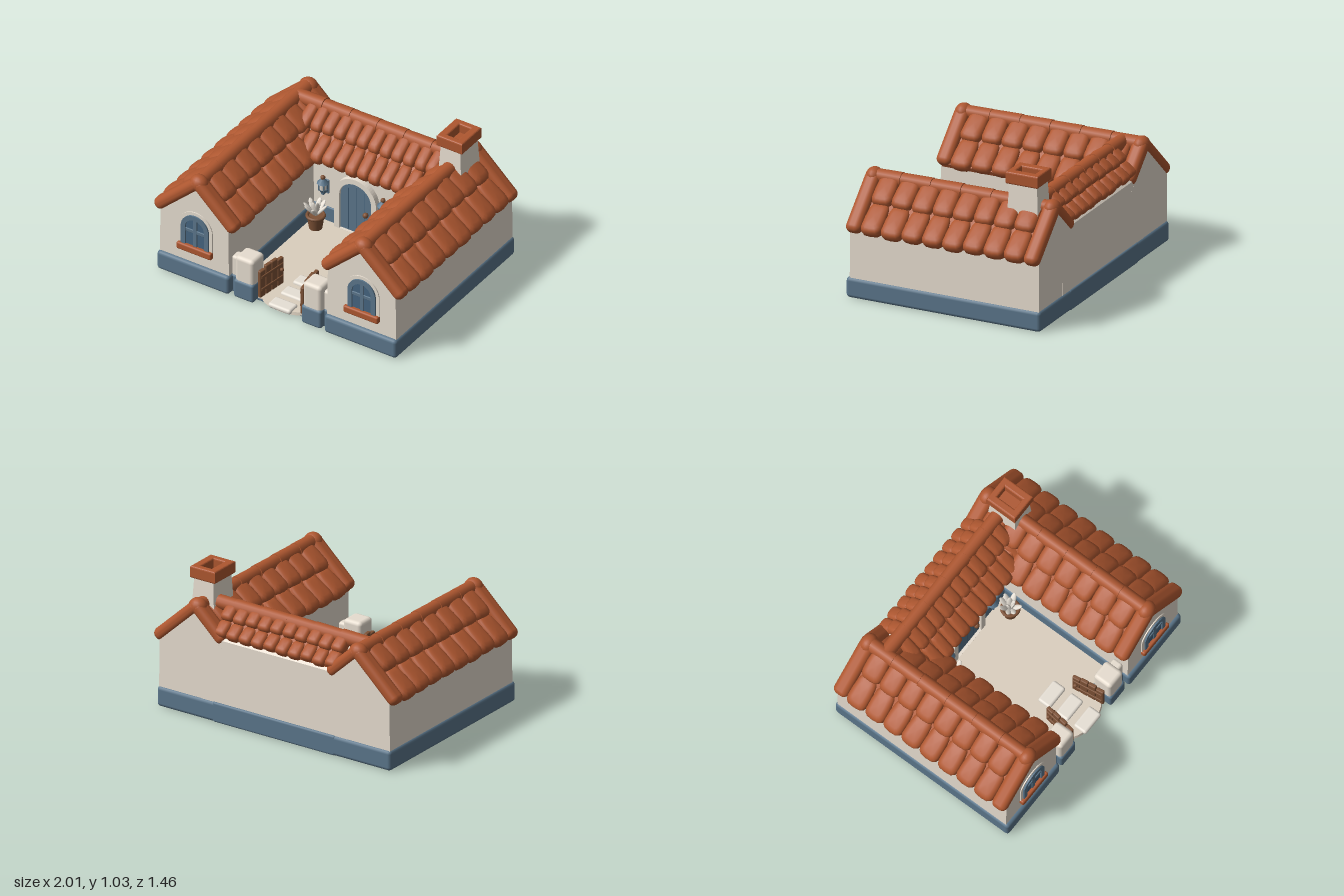
import * as THREE from 'three';
import { mergeVertices } from 'three/addons/utils/BufferGeometryUtils.js';
import { RoundedBoxGeometry } from 'three/addons/geometries/RoundedBoxGeometry.js';

const mat = (name, color) => Object.assign(new THREE.MeshStandardMaterial({ color }), { name });
const M = {
  roof: mat('terracotta', 0xae5730), wall: mat('plaster', 0xede3d5), blue: mat('slate blue', 0x5b768b),
  pane: mat('dark blue', 0x45647f), wood: mat('brown wood', 0x7e5236), stone: mat('pale stone', 0xeee7dc),
  floor: mat('courtyard tan', 0xdbcfbe),
};

let seed = 7;
const jitter = a => ((seed = (seed * 16807) % 2147483647) / 2147483647 - 0.5) * 2 * a;

function add(parent, name, geo, material, x = 0, y = 0, z = 0) {
  const m = new THREE.Mesh(geo, material);
  m.name = name;
  m.position.set(x, y, z);
  parent.add(m);
  return m;
}
// Box given by its limits, with softened edges
function block(parent, name, material, x0, x1, y0, y1, z0, z1, r = 0.015) {
  const w = x1 - x0, h = y1 - y0, d = z1 - z0;
  return add(parent, name, new RoundedBoxGeometry(w, h, d, 2, Math.min(r, w / 2.1, h / 2.1, d / 2.1)), material,
    (x0 + x1) / 2, (y0 + y1) / 2, (z0 + z1) / 2);
}
const outline = (Type, points) => new Type(points.map(p => new THREE.Vector2(...p)));
// Extruded shape centred along its depth
function prism(shape, depth) {
  return new THREE.ExtrudeGeometry(shape, { depth, bevelEnabled: false, curveSegments: 14 }).translate(0, 0, -depth / 2);
}
const profile = (points, depth) => prism(outline(THREE.Shape, points), depth);
// Round-topped outline standing on y0
function arch(w, h, Type = THREE.Shape, y0 = 0) {
  const s = new Type(), r = w / 2;
  s.moveTo(-r, y0);
  s.lineTo(r, y0);
  s.lineTo(r, h - r);
  s.absarc(0, h - r, r, 0, Math.PI, false);
  s.lineTo(-r, y0);
  return s;
}
function archRing(w, h, t, depth) {
  const s = arch(w, h);
  s.holes.push(arch(w - 2 * t, h - t, THREE.Path, 0.001));
  return prism(s, depth);
}

// Pillow-shaped clay tile, wider at its lower end
function tileGeometry(w, h, len) {
  const g = new THREE.SphereGeometry(1, 16, 10);
  const p = g.attributes.position;
  const pow = (v, e) => Math.sign(v) * Math.abs(v) ** e;
  for (let i = 0; i < p.count; i++) {
    const x = pow(p.getX(i), 0.6), y = pow(p.getY(i), 0.8), z = pow(p.getZ(i), 0.5);
    p.setXYZ(i, x * w * (0.5 + 0.04 * z), y * h * (0.5 + 0.1 * z), z * len * 0.5);
  }
  g.deleteAttribute('uv');
  g.deleteAttribute('normal');
  const out = mergeVertices(g, 1e-4);
  out.computeVertexNormals();
  return out;
}
// Rows of tiles running down from a ridge, downhill along local +z
function tileSlope(parent, name, span, cols, slopeLen, pitch, x, y, z, turn) {
  const g = new THREE.Group();
  g.name = name;
  g.position.set(x, y, z);
  g.rotation.y = turn;
  const w = span / cols, row = slopeLen / 2, geo = tileGeometry(w * 1.04, 0.095, row * 1.2);
  for (let r = 0; r < 2; r++) for (let c = 0; c < cols; c++) {
    const s = row * (r + 0.5) + jitter(0.006);
    const t = add(g, 'roofTile', geo, M.roof, -span / 2 + w * (c + 0.5),
      -s * Math.sin(pitch) + (r ? 0 : 0.008), s * Math.cos(pitch));
    t.rotation.set(pitch - 0.06, jitter(0.05), jitter(0.05));
  }
  parent.add(g);
}
// Ridge of short round tiles along x or z
function ridge(parent, name, from, to, n, y, at, alongX) {
  const len = (to - from) / n;
  for (let i = 0; i < n; i++) {
    const c = from + len * (i + 0.5), r = 0.047 + jitter(0.003);
    const m = add(parent, name, new THREE.CylinderGeometry(r, r + 0.004, len * 0.99, 14), M.roof, alongX ? c : at, y, alongX ? at : c);
    if (alongX) m.rotation.z = Math.PI / 2; else m.rotation.x = Math.PI / 2;
  }
}

function wing(root, side) {
  const g = new THREE.Group(), cx = 0.655 * side, pitch = 0.75, d = 0.012 * side;
  g.name = side < 0 ? 'rightWing' : 'leftWing';
  root.add(g);
  block(g, 'wingBase', M.blue, cx + d - 0.288, cx + d + 0.288, 0, 0.145, -0.725, 0.73, 0.025);
  add(g, 'wingWall', profile([[d - 0.276, 0.1], [d + 0.276, 0.1], [d + 0.27, 0.505], [0, 0.76], [d - 0.27, 0.505]], 1.415), M.wall, cx, 0, -0.003);
  add(g, 'roofDeck', profile([[0, 0.795], [-0.3, 0.515], [-0.285, 0.485], [0, 0.74], [0.285, 0.485], [0.3, 0.515]], 1.36), M.roof, cx);
  for (const s of [-1, 1]) tileSlope(g, 'wingRoofSlope', 1.22, 8, s === side ? 0.425 : 0.405, pitch, cx, 0.785, 0, s * Math.PI / 2);
  ridge(g, 'wingRidge', -0.68, 0.68, 6, 0.785, cx, false);
  // Rounded gable edges, the inner back one cut short at the valley
  for (const end of [-1, 1]) {
    for (const s of [-1, 1]) {
      const len = s === side ? 0.465 : end < 0 ? 0.33 : 0.435;
      const t = add(g, 'gableTrim', new RoundedBoxGeometry(len, 0.09, 0.115, 4, 0.042), M.roof,
        cx + s * (len / 2 - 0.02) * Math.cos(pitch), 0.79 - (len / 2 - 0.02) * Math.sin(pitch), end * 0.665);
      t.rotation.z = -s * pitch;
    }
    const cap = add(g, 'gablePeakCap', new THREE.SphereGeometry(0.062, 16, 12), M.roof, cx, 0.78, end * 0.665);
    cap.scale.set(1.1, 1, 0.95);
  }
  // Arched front window
  const win = new THREE.Group();
  win.name = 'frontWindow';
  win.position.set(side < 0 ? -0.655 : 0.675, 0.275, 0.704);
  g.add(win);
  add(win, 'windowSurround', archRing(0.27, 0.285, 0.027, 0.016), M.wall);
  add(win, 'windowPane', prism(arch(0.2, 0.25), 0.009), M.pane, 0, 0, 0.002);
  add(win, 'windowFrame', archRing(0.22, 0.26, 0.034, 0.03), M.blue, 0, 0, 0.004);
  block(win, 'mullion', M.blue, -0.015, 0.015, 0.01, 0.25, -0.01, 0.015, 0.004);
  block(win, 'glazingBar', M.blue, -0.09, 0.09, 0.115, 0.142, -0.01, 0.014, 0.004);
  block(win, 'windowSill', M.roof, -0.138, 0.138, -0.042, 0.012, -0.03, 0.033, 0.012);
}

function mainHouse(root) {
  const g = new THREE.Group();
  g.name = 'mainHouse';
  root.add(g);
  block(g, 'mainBase', M.blue, -0.5, 0.5, 0, 0.145, -0.725, -0.34);
  for (const [a, b] of [[-0.42, -0.2], [0.13, 0.42]]) block(g, 'wallSkirting', M.blue, a, b, 0, 0.14, -0.36, -0.32, 0.01);
  const wall = add(g, 'mainWall', profile([[0.33, 0.05], [0.712, 0.1], [0.71, 0.6], [0.53, 0.76], [0.33, 0.6]], 1.2), M.wall);
  const deck = add(g, 'mainRoofDeck', profile([[0.53, 0.8], [0.26, 0.565], [0.27, 0.535], [0.53, 0.74], [0.69, 0.61], [0.7, 0.64]], 0.9), M.roof);
  wall.rotation.y = deck.rotation.y = Math.PI / 2;
  tileSlope(g, 'mainRoofFront', 1.1, 12, 0.365, 0.72, 0, 0.785, -0.53, 0);
  tileSlope(g, 'mainRoofBack', 1.0, 10, 0.22, 0.82, 0, 0.78, -0.54, Math.PI);
  ridge(g, 'mainRidge', -0.65, 0.65, 6, 0.787, -0.53, true);

  // Arched door
  const door = new THREE.Group();
  door.name = 'frontDoor';
  door.position.set(-0.038, 0.03, -0.325);
  g.add(door);
  add(door, 'doorSurround', archRing(0.335, 0.44, 0.04, 0.06), M.wall, 0, 0, 0.005);
  add(door, 'doorLeaf', prism(arch(0.26, 0.4), 0.03), M.blue);
  for (const x of [-0.065, 0, 0.065]) block(door, 'plankGap', M.pane, x - 0.002, x + 0.002, 0.01, 0.37 - Math.abs(x) * 0.4, 0.012, 0.017, 0.001);
  add(door, 'doorKnob', new THREE.SphereGeometry(0.02, 12, 8), M.wood, 0.08, 0.18, 0.03);

  // Wall lanterns
  for (const x of [-0.285, 0.195]) {
    const l = new THREE.Group();
    l.name = 'wallLantern';
    l.position.set(x, 0, -0.275);
    g.add(l);
    block(l, 'lanternBracket', M.blue, -0.012, 0.012, 0.27, 0.29, -0.06, 0.01, 0.004);
    block(l, 'lanternBackPlate', M.blue, -0.018, 0.018, 0.25, 0.36, -0.06, -0.045, 0.006);
    add(l, 'lanternFoot', new THREE.CylinderGeometry(0.028, 0.016, 0.025, 8), M.blue, 0, 0.3, 0);
    add(l, 'lanternGlass', new THREE.CylinderGeometry(0.03, 0.024, 0.055, 8), M.stone, 0, 0.338, 0);
    for (let i = 0; i < 4; i++) {
      const a = Math.PI / 4 + i * Math.PI / 2;
      add(l, 'lanternBar', new THREE.CylinderGeometry(0.006, 0.006, 0.06, 6), M.blue, 0.028 * Math.cos(a), 0.338, 0.028 * Math.sin(a));
    }
    add(l, 'lanternCap', new THREE.CylinderGeometry(0.012, 0.043, 0.035, 8), M.blue, 0, 0.38, 0);
    add(l, 'lanternFinial', new THREE.SphereGeometry(0.017, 10, 8), M.wood, 0, 0.407, 0);
  }
}

function chimney(root) {
  const g = new THREE.Group();
  g.name = 'chimney';
  g.position.set(0.66, 0, -0.49);
  root.add(g);
  const body = new THREE.BoxGeometry(0.2, 0.4, 0.25), p = body.attributes.position;
  for (let i = 0; i < p.count; i++) if (p.getY(i) > 0) p.setXYZ(i, p.getX(i) * 0.78, p.getY(i), p.getZ(i) * 0.82);
  body.computeVertexNormals();
  add(g, 'chimneyStack', body, M.wall, 0, 0.755, 0);
  const rect = (Type, a, b) => outline(Type, [[-a, -b], [a, -b], [a, b], [-a, b]]);
  const s = rect(THREE.Shape, 0.09, 0.108);
  s.holes.push(rect(THREE.Path, 0.055, 0.084));
  const rim = new THREE.ExtrudeGeometry(s, { depth: 0.064, bevelSize: 0.012, bevelThickness: 0.012, bevelSegments: 3 });
  add(g, 'chimneyCap', rim, M.roof, 0, 0.953, 0).rotation.x = -Math.PI / 2;
  block(g, 'flueFloor', M.roof, -0.06, 0.06, 0.95, 0.96, -0.085, 0.085, 0.002);
}

function courtyard(root) {
  const g = new THREE.Group();
  g.name = 'courtyard';
  root.add(g);
  block(g, 'courtyardFoundation', M.blue, -0.4, 0.4, 0, 0.02, -0.4, 0.66, 0.004);
  block(g, 'courtyardFloor', M.floor, -0.39, 0.39, 0.015, 0.03, -0.36, 0.66, 0.004);
  add(g, 'entranceApron', new THREE.CylinderGeometry(0.18, 0.19, 0.022, 24), M.floor, 0.01, 0.023, 0.61).scale.z = 0.5;
  for (const z of [0.36, 0.51, 0.66]) block(g, 'steppingStone', M.stone, -0.08, 0.1, 0.012, 0.05, z - 0.052, z + 0.052, 0.018);
  for (const s of [-1, 1]) {
    // Gate pillar and the short wall joining it to the wing
    const px = 0.27 * s, wx = 0.36 * s;
    block(g, 'pillarBase', M.blue, px - 0.08, px + 0.08, 0, 0.145, 0.555, 0.72, 0.02);
    block(g, 'gatePillar', M.wall, px - 0.074, px + 0.074, 0.1, 0.33, 0.562, 0.71, 0.028);
    block(g, 'linkWallBase', M.blue, wx - 0.04, wx + 0.04, 0, 0.14, 0.575, 0.675);
    block(g, 'linkWall', M.wall, wx - 0.04, wx + 0.04, 0.1, 0.285, 0.585, 0.665, 0.02);

    // Open plank gate
    const gate = new THREE.Group();
    gate.name = 'gate';
    gate.position.set(s * 0.172, 0.035, 0.675);
    gate.rotation.y = Math.PI / 2 + s * 0.14;
    g.add(gate);
    for (let i = 0; i < 4; i++) block(gate, 'gatePlank', M.wood, i * 0.06, i * 0.06 + 0.058, 0, 0.2 + 0.035 * Math.sin((i + 0.5) * Math.PI / 4), -0.014, 0.014, 0.008);
    for (const y of [0.05, 0.15]) block(gate, 'gateBrace', M.wood, 0.01, 0.23, y, y + 0.025, -0.02, 0.02, 0.005);
    for (const z of [-0.025, 0.025]) add(gate, 'gateKnob', new THREE.SphereGeometry(0.014, 10, 8), M.wood, 0.205, 0.13, z);

    // Potted plant
    const plant = new THREE.Group();
    plant.name = 'pottedPlant';
    plant.position.set(s * 0.3, 0.03, -0.21);
    g.add(plant);
    add(plant, 'pot', new THREE.CylinderGeometry(0.06, 0.045, 0.1, 16), M.wood, 0, 0.05, 0);
    add(plant, 'potRim', new THREE.TorusGeometry(0.058, 0.012, 8, 18), M.wood, 0, 0.1, 0).rotation.x = Math.PI / 2;
    const leaf = new THREE.SphereGeometry(1, 8, 8).scale(0.022, 0.065, 0.011).translate(0, 0.06, 0);
    for (let i = 0; i < 11; i++) {
      const m = add(plant, 'leaf', leaf, M.stone, 0, 0.1, 0);
      m.rotation.set(i < 4 ? 0.25 : 0.7, i * 2.4, 0, 'YXZ');
    }
  }
}

export function createModel() {
  const root = new THREE.Group();
  root.name = 'courtyardHouse';
  wing(root, -1);
  wing(root, 1);
  mainHouse(root);
  chimney(root);
  courtyard(root);
  return root;
}
